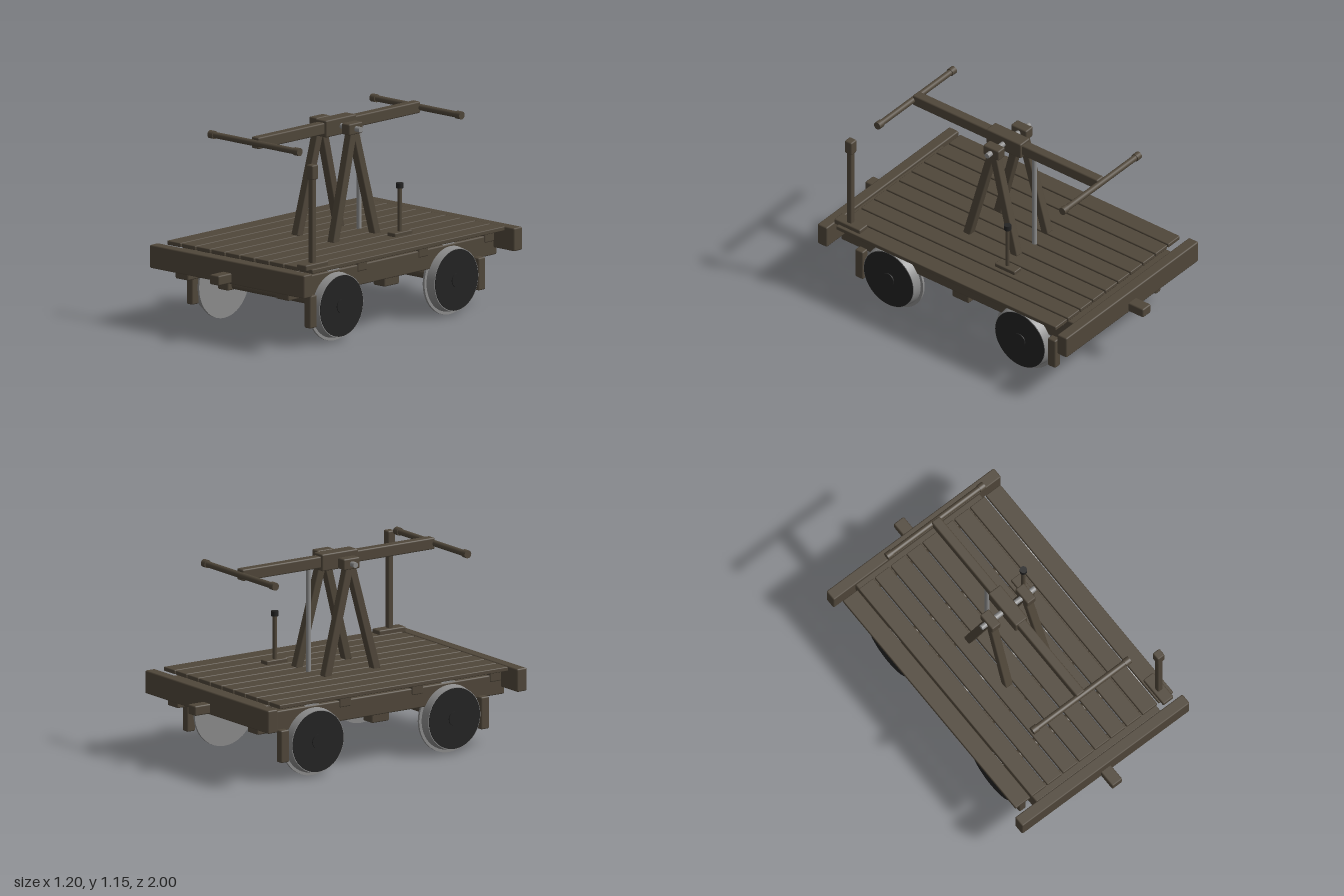
import * as THREE from 'three';
import { RoundedBoxGeometry } from 'three/addons/geometries/RoundedBoxGeometry.js';

const material = (name, color) => {
  const m = new THREE.MeshStandardMaterial({ color });
  m.name = name;
  return m;
};

export function createModel() {
  const root = new THREE.Group();
  root.name = 'railHandcar';
  const wood = material('weathered wood', 0x50473a);
  const steel = material('pale steel', 0x8c8c8c);
  const iron = material('dark iron', 0x232323);

  const add = (name, geometry, mat, x, y, z, parent = root) => {
    const mesh = new THREE.Mesh(geometry, mat);
    mesh.name = name;
    mesh.position.set(x, y, z);
    parent.add(mesh);
    return mesh;
  };
  // timber with softened edges, given by its extents on each axis
  const timber = (name, [x0, x1], [y0, y1], [z0, z1]) => {
    const w = x1 - x0, h = y1 - y0, d = z1 - z0;
    const r = Math.min(0.008, Math.min(w, h, d) * 0.2);
    return add(name, new RoundedBoxGeometry(w, h, d, 1, r), wood, (x0 + x1) / 2, (y0 + y1) / 2, (z0 + z1) / 2);
  };
  // round bar lying along x
  const barX = (name, r, length, mat, x, y, z, parent = root, sides = 20) =>
    add(name, new THREE.CylinderGeometry(r, r, length, sides).rotateZ(Math.PI / 2), mat, x, y, z, parent);
  const signs = [-1, 1];
  const span = (c, half) => [c - half, c + half];

  // deck planks
  for (let i = 0; i < 10; i++) {
    timber('deckPlank', span((i - 4.5) * 0.1138, 0.0525), [0.455, 0.48], [-0.79, 0.79]);
  }
  // frame: long sills, cross beams, end beams and couplers
  for (const s of signs) {
    timber('longSill', span(s * 0.39, 0.05), [0.29, 0.41], [-0.855, 0.855]);
    timber('endCrossBeam', [-0.445, 0.445], [0.37, 0.455], span(s * 0.79, 0.04));
    timber('middleCrossBeam', [-0.445, 0.445], [0.37, 0.455], span(s * 0.25, 0.04));
    timber('endBeam', [-0.6, 0.6], [0.333, 0.467], span(s * 0.862, 0.034));
    timber('coupler', span(0, 0.036), [0.34, 0.397], span(s * 0.94, 0.06));
  }

  // wheel sets with axles, bearings and brake shoes
  const axleY = 0.21;
  for (const sz of signs) {
    const z = sz * 0.472;
    barX('axle', 0.027, 0.9, wood, 0, axleY, z);
    for (const sx of signs) {
      timber('axleBearing', span(sx * 0.38, 0.041), [0.18, 0.3], span(z, 0.055));
      timber('brakeShoe', span(sx * 0.457, 0.024), [0.115, 0.303], span(sz * 0.692, 0.028));
      const wheel = new THREE.Group();
      wheel.name = 'wheel';
      wheel.position.set(0, axleY, z);
      root.add(wheel);
      barX('wheelFlange', 0.206, 0.014, steel, sx * 0.428, 0, 0, wheel, 48);
      const tread = new THREE.CylinderGeometry(0.18, 0.189, 0.053, 48).rotateZ(-sx * Math.PI / 2);
      add('wheelTread', tread, steel, sx * 0.4615, 0, 0, wheel);
      barX('wheelFace', 0.176, 0.006, iron, sx * 0.487, 0, 0, wheel, 48);
      barX('wheelHub', 0.041, 0.01, iron, sx * 0.491, 0, 0, wheel);
    }
  }

  // drive shaft and gear under the deck
  barX('driveShaft', 0.024, 0.8, steel, 0, 0.285, 0);
  barX('driveGear', 0.1, 0.034, iron, 0, 0.285, 0, root, 32);
  for (const s of signs) timber('shaftBearing', span(s * 0.39, 0.045), [0.245, 0.3], span(0, 0.06));

  // A-frames carrying the pump beam
  const up = new THREE.Vector3(0, 1, 0);
  for (const sx of signs) {
    for (const sz of signs) {
      const foot = new THREE.Vector3(sx * 0.14, 0.472, sz * 0.172);
      const head = new THREE.Vector3(sx * 0.125, 1.1, sz * 0.005);
      const run = head.clone().sub(foot);
      const mid = foot.clone().add(head).multiplyScalar(0.5);
      const leg = add('frameLeg', new RoundedBoxGeometry(0.05, run.length(), 0.048, 1, 0.006), wood, mid.x, mid.y, mid.z);
      leg.quaternion.setFromUnitVectors(up, run.normalize());
    }
    timber('pivotBearing', span(sx * 0.126, 0.031), [1.075, 1.14], span(0, 0.056));
  }
  barX('pivotShaft', 0.016, 0.385, steel, 0, 1.107, 0);

  // pump beam with its handles and connecting rod
  timber('pumpBeam', span(0, 0.029), [1.074, 1.141], [-0.665, 0.665]);
  timber('pumpBeamHub', span(0, 0.043), [1.057, 1.155], [-0.125, 0.125]);
  for (const sz of signs) {
    barX('pumpHandle', 0.018, 0.69, wood, 0, 1.107, sz * 0.665);
    for (const sx of signs) barX('handleGrip', 0.023, 0.037, wood, sx * 0.33, 1.107, sz * 0.665);
  }
  add('connectingRod', new THREE.CylinderGeometry(0.014, 0.014, 0.64, 16), steel, 0, 0.77, -0.19);

  // tall brake post at the front left corner
  timber('brakePostBase', span(0.507, 0.037), [0.47, 0.505], [0.635, 0.82]);
  timber('brakePost', span(0.507, 0.017), [0.5, 0.995], span(0.73, 0.017));
  timber('brakePostGrip', span(0.507, 0.025), [0.985, 1.07], span(0.73, 0.025));

  // short lever with iron knob
  timber('leverBase', span(0.284, 0.031), [0.475, 0.502], span(-0.225, 0.072));
  add('lever', new THREE.CylinderGeometry(0.012, 0.012, 0.26, 16), wood, 0.284, 0.625, -0.222);
  add('leverKnob', new THREE.CylinderGeometry(0.021, 0.021, 0.03, 20), iron, 0.284, 0.765, -0.222);

  return root;
}
